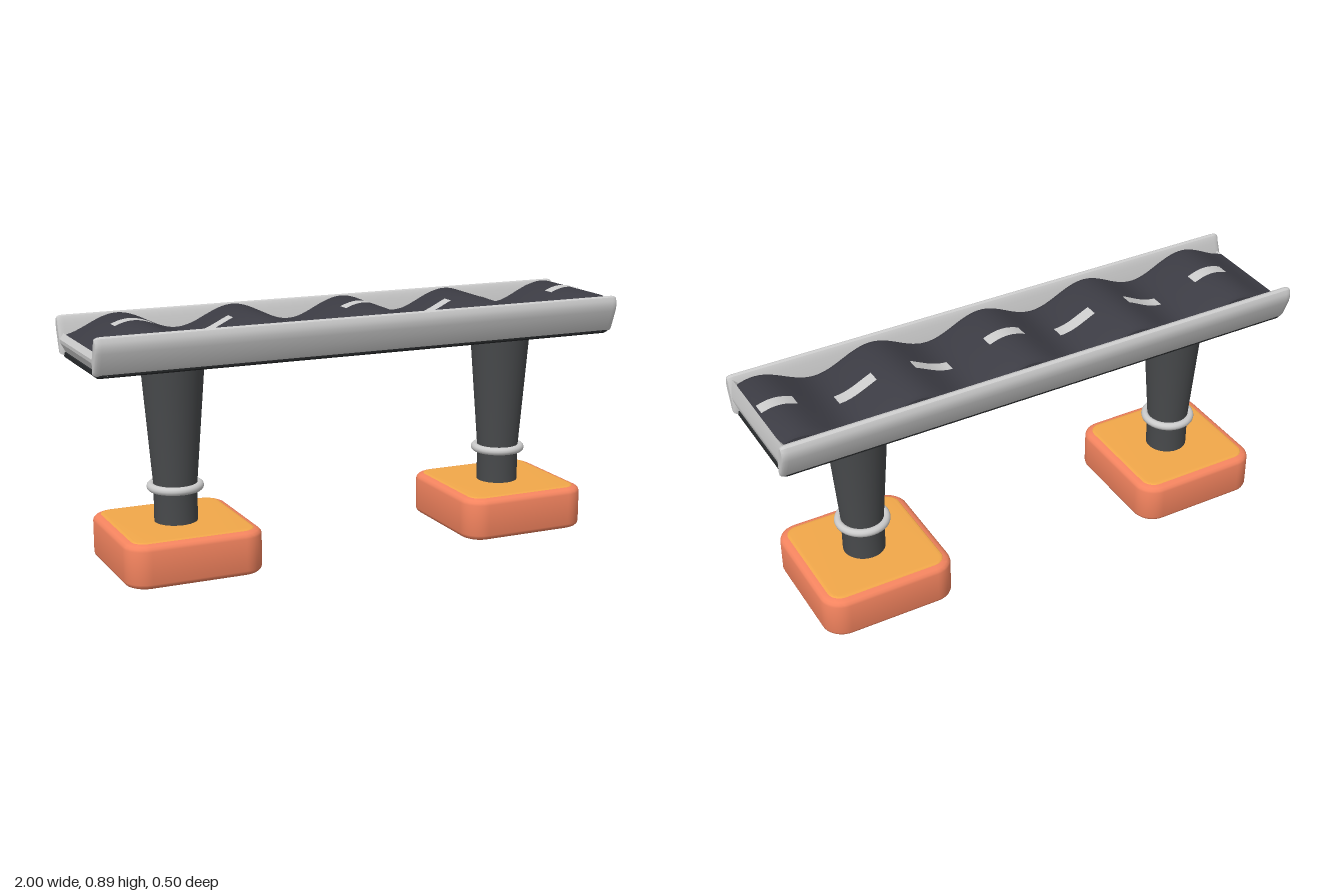
import * as THREE from 'three';
import { toCreasedNormals } from 'three/addons/utils/BufferGeometryUtils.js';

const mat = (color, side = THREE.FrontSide) => new THREE.MeshStandardMaterial({ color, side });
const grey = mat(0xcccccc);
const asphalt = mat(0x3c3c44, THREE.DoubleSide);
const underside = mat(0x2a2c2e);
const concrete = mat(0x484a4c);
const coral = mat(0xf4845f);
const amber = mat(0xf2a84a);
const paint = mat(0xcccccc, THREE.DoubleSide);

const roadHeight = (x) => 0.852 + 0.034 * Math.cos((2 * Math.PI * (x + 0.8)) / 0.43);

function part(name, geometry, material, parent) {
  const mesh = new THREE.Mesh(geometry, material);
  mesh.name = name;
  parent.add(mesh);
  return mesh;
}

const polygon = (points) => new THREE.Shape(points.map(([a, b]) => new THREE.Vector2(a, b)));

// Extrudes a shape symmetrically about zero, keeping the bevel inside its outline.
function extrude(shape, length, thickness, size, segments = 3) {
  const geometry = new THREE.ExtrudeGeometry(shape, {
    depth: length - 2 * thickness, curveSegments: 6, bevelEnabled: size > 0,
    bevelThickness: thickness, bevelSize: size, bevelOffset: -size, bevelSegments: segments,
  });
  geometry.translate(0, 0, -(length - 2 * thickness) / 2);
  return geometry;
}

// Extrudes a (z, y) cross-section along x.
function alongX(section, length, thickness, size) {
  const shape = polygon(section.map(([z, y]) => [-z, y]));
  return toCreasedNormals(extrude(shape, length, thickness, size).rotateY(Math.PI / 2), 0.6);
}

// Square slab with rounded corners, lying flat and centred on y = 0.
function roundedSlab(half, radius, height, thickness, size) {
  const s = new THREE.Shape();
  const c = half - radius;
  s.absarc(c, c, radius, 0, Math.PI / 2);
  s.absarc(-c, c, radius, Math.PI / 2, Math.PI);
  s.absarc(-c, -c, radius, Math.PI, 1.5 * Math.PI);
  s.absarc(c, -c, radius, 1.5 * Math.PI, 2 * Math.PI);
  return toCreasedNormals(extrude(s, height, thickness, size, 4).rotateX(-Math.PI / 2), 0.6);
}

// Sheet from x0 to x1 that follows the road waves; rows are [z, drop below the crown].
function waveSheet(x0, x1, rows, steps, lift) {
  const geometry = new THREE.PlaneGeometry(1, 1, steps, rows.length - 1);
  const p = geometry.attributes.position;
  for (let i = 0; i < p.count; i++) {
    const [z, drop] = rows[Math.floor(i / (steps + 1))];
    const x = x0 + ((x1 - x0) * (i % (steps + 1))) / steps;
    p.setXYZ(i, x, roadHeight(x) + lift - drop, z);
  }
  return toCreasedNormals(geometry, 0.5);
}

function buildDeck() {
  const deck = new THREE.Group();
  deck.name = 'deck';

  // Wavy road with softened edges
  const edge = [[0.202, 0.07], [0.195, 0.016], [0.185, 0.006], [0.168, 0]];
  const rows = [...edge.map(([z, d]) => [-z, d]), ...edge.slice().reverse()];
  part('roadSurface', waveSheet(-0.985, 0.985, rows, 120, 0), asphalt, deck);

  // Painted centre dashes
  for (let i = 0; i < 7; i++) {
    const x = -0.797 + i * 0.286;
    const dash = waveSheet(x - 0.07, Math.min(x + 0.07, 0.977), [[-0.024, 0], [0.024, 0]], 12, 0.003);
    part('laneDash', dash, paint, deck);
  }

  // Leaning side rails with rounded tops
  const rail = [
    [0.19, 0.745], [0.208, 0.745], [0.217, 0.758], [0.243, 0.825], [0.247, 0.845], [0.246, 0.862],
    [0.24, 0.876], [0.23, 0.881], [0.22, 0.878], [0.213, 0.866], [0.21, 0.852], [0.19, 0.8],
  ];
  for (const side of [1, -1]) {
    part('sideRail', alongX(rail.map(([z, y]) => [side * z, y]), 2, 0.022, 0.008), grey, deck);
  }

  // Bulging end caps
  for (const side of [1, -1]) {
    const top = roadHeight(side * 0.985);
    const bulge = Math.min(0.81, top - 0.025);
    const profile = [[0.95, 0.745], [0.978, 0.75], [0.998, bulge - 0.008], [0.999, bulge + 0.005], [0.985, top], [0.95, top - 0.035]];
    part('endCap', toCreasedNormals(extrude(polygon(profile.map(([x, y]) => [side * x, y])), 0.42, 0, 0), 0.4), grey, deck);
  }

  // Dark underside
  const slab = [[-0.195, 0.735], [0.195, 0.735], [0.209, 0.742], [0.213, 0.758], [-0.213, 0.758], [-0.209, 0.742]];
  part('underside', alongX(slab, 1.97, 0.012, 0.004), underside, deck);
  deck.position.z = -0.003;
  return deck;
}

function buildPier() {
  const pier = new THREE.Group();
  pier.name = 'pier';

  // Footing with an inset top plate
  part('footing', roundedSlab(0.25, 0.08, 0.16, 0.022, 0.035), coral, pier).position.y = 0.08;
  part('footingTop', roundedSlab(0.222, 0.05, 0.012, 0.003, 0.012), amber, pier).position.y = 0.156;

  // Column that flares towards the deck
  const profile = [[0.077, 0.15], [0.077, 0.29], [0.113, 0.745]].map(([r, y]) => new THREE.Vector2(r, y));
  part('column', toCreasedNormals(new THREE.LatheGeometry(profile, 32), 0.5), concrete, pier);

  // Collar ring
  const ring = part('collar', new THREE.TorusGeometry(0.086, 0.015, 12, 40), grey, pier);
  ring.rotation.x = Math.PI / 2;
  ring.position.y = 0.288;
  return pier;
}

export function createModel() {
  const model = new THREE.Group();
  model.name = 'wavyBridge';
  model.add(buildDeck());
  for (const x of [-0.66, 0.64]) {
    const pier = buildPier();
    pier.position.x = x;
    model.add(pier);
  }
  return model;
}
